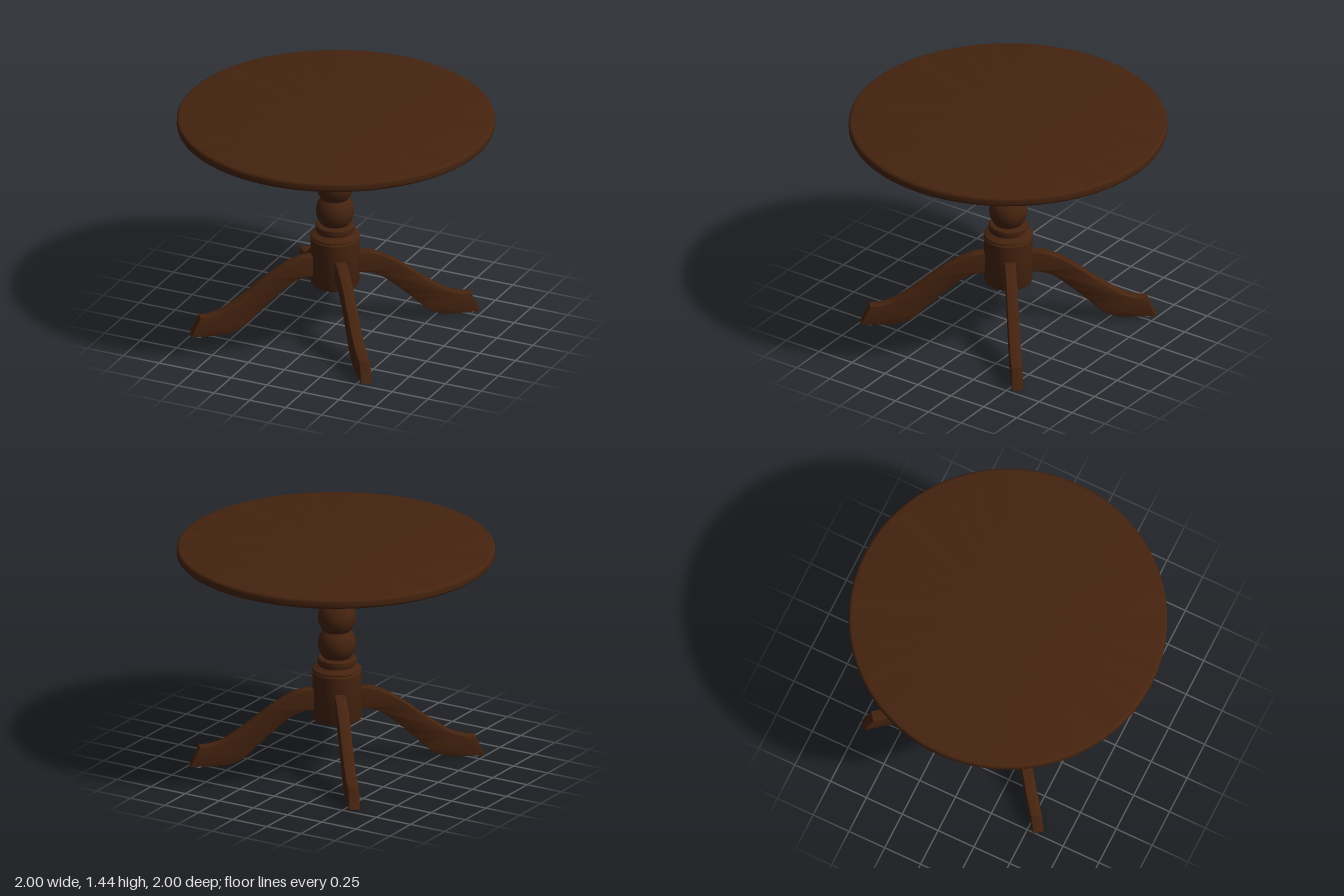
import * as THREE from 'three';
import { toCreasedNormals } from 'three/addons/utils/BufferGeometryUtils.js';

const wood = new THREE.MeshStandardMaterial({ color: 0x45230f });
wood.name = 'darkWood';
const metal = new THREE.MeshStandardMaterial({ color: 0x85888c });
metal.name = 'greyMetal';

function add(parent, name, geometry, material) {
  const mesh = new THREE.Mesh(geometry, material);
  mesh.name = name;
  parent.add(mesh);
  return mesh;
}

// Turned part from [radius, height] pairs, bottom to top
function turned(points, segments) {
  const profile = points.map(([r, y]) => new THREE.Vector2(r, y));
  return toCreasedNormals(new THREE.LatheGeometry(profile, segments), 0.6);
}

// Points of a turned bulb between two heights
function bulb(centre, radius, neck) {
  const limit = Math.acos(neck / radius);
  const points = [];
  for (let i = 0; i <= 12; i++) {
    const a = -limit + (2 * limit * i) / 12;
    points.push([radius * Math.cos(a), centre + (0.086 * Math.sin(a)) / Math.sin(limit)]);
  }
  return points;
}

// Side outline of a curved leg, x outward from the column
function legGeometry() {
  const v = (list) => list.map(([x, y]) => new THREE.Vector2(x, y));
  const b = 0.006;
  const shape = new THREE.Shape();
  shape.moveTo(0.1, 0.364);
  shape.lineTo(0.16, 0.364);
  shape.splineThru(v([[0.22, 0.356], [0.3, 0.32], [0.4, 0.24], [0.5, 0.15],
    [0.58, 0.076], [0.64, 0.038], [0.7, 0.02], [0.77, 0.016]]));
  shape.lineTo(0.922, 0.016);
  shape.lineTo(0.866, 0.135);
  shape.lineTo(0.82, 0.136);
  shape.splineThru(v([[0.74, 0.158], [0.67, 0.196], [0.57, 0.265], [0.43, 0.372],
    [0.33, 0.436], [0.23, 0.48], [0.15, 0.49]]));
  shape.lineTo(0.1, 0.49);
  const geometry = new THREE.ExtrudeGeometry(shape, {
    depth: 0.07 - 2 * b, bevelEnabled: true, bevelSize: b, bevelThickness: b,
    bevelSegments: 2, curveSegments: 20,
  });
  geometry.translate(0, 0, -0.035 + b);
  return toCreasedNormals(geometry, 0.6);
}

export function createModel() {
  const table = new THREE.Group();
  table.name = 'pedestalTable';

  // Round top with a softened rim
  const rim = [[0, 1.375], [0.982, 1.375]];
  for (let i = 1; i < 6; i++) {
    const a = -Math.PI / 2 + (Math.PI * i) / 12;
    rim.push([0.98 + 0.02 * Math.cos(a), 1.395 + 0.02 * Math.sin(a)]);
  }
  rim.push([1, 1.395], [1, 1.418]);
  for (let i = 1; i < 6; i++) {
    const a = (Math.PI * i) / 12;
    rim.push([0.98 + 0.02 * Math.cos(a), 1.418 + 0.02 * Math.sin(a)]);
  }
  rim.push([0.98, 1.438], [0, 1.438]);
  add(table, 'tableTop', turned(rim, 64), wood);

  const base = new THREE.Group();
  base.name = 'pedestal';
  base.position.set(-0.006, 0, 0.002);
  table.add(base);

  // Mounting plate under the top
  const plate = add(base, 'mountingPlate', new THREE.CylinderGeometry(0.307, 0.307, 0.032, 48), wood);
  plate.position.y = 1.361;

  // Turned column
  add(base, 'column', turned([
    [0, 0.285], [0.138, 0.285], [0.147, 0.29], [0.153, 0.305], [0.153, 0.602],
    [0.146, 0.61], [0.146, 0.615], [0.155, 0.62], [0.152, 0.628], [0.13, 0.638],
    [0.115, 0.646], [0.115, 0.654], [0.122, 0.66], [0.124, 0.672], [0.122, 0.692],
    [0.114, 0.699], [0.088, 0.701],
    ...bulb(0.789, 0.12, 0.088),
    ...bulb(0.967, 0.12, 0.088),
    [0.118, 1.056], [0.121, 1.09], [0.126, 1.112], [0.14, 1.122], [0.15, 1.13],
    [0.15, 1.138], [0.142, 1.146], [0.15, 1.152], [0.162, 1.16], [0.165, 1.17],
    [0.161, 1.18], [0.153, 1.185], [0.153, 1.35],
  ], 40), wood);

  // Four legs, each with a foot glide, and a plate screw in line with it
  const leg = legGeometry();
  const glide = new THREE.CylinderGeometry(0.024, 0.02, 0.012, 16);
  const screw = new THREE.CylinderGeometry(0.022, 0.013, 0.016, 12);
  for (let i = 0; i < 4; i++) {
    const arm = new THREE.Group();
    arm.name = 'legAssembly';
    arm.rotation.y = -THREE.MathUtils.degToRad(52 + 90 * i);
    base.add(arm);
    add(arm, 'leg', leg, wood);
    add(arm, 'footGlide', glide, metal).position.set(0.875, 0.006, 0);
    add(arm, 'plateScrew', screw, metal).position.set(0.25, 1.338, 0);
  }
  return table;
}
